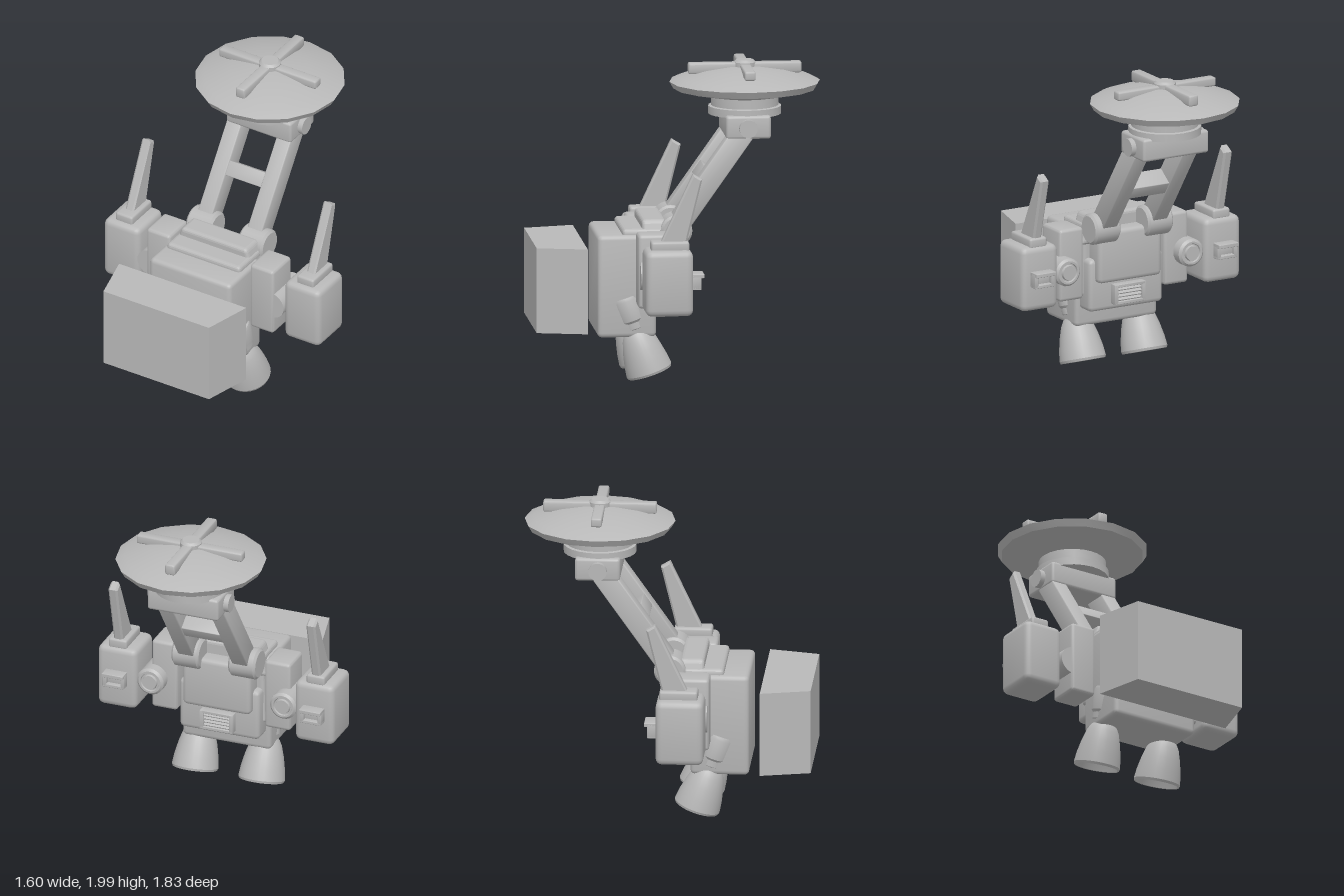
import * as THREE from 'three';
import { toCreasedNormals } from 'three/addons/utils/BufferGeometryUtils.js';
import { RoundedBoxGeometry } from 'three/addons/geometries/RoundedBoxGeometry.js';

const grey = new THREE.MeshStandardMaterial({ color: 0xb8b8b8 });
grey.name = 'grey';
const openGrey = grey;
openGrey.side = THREE.DoubleSide;

export function createModel() {
  const model = new THREE.Group();
  model.name = 'flyingPack';

  const add = (name, geo, parent = model) => {
    const mesh = new THREE.Mesh(geo, grey);
    mesh.name = name;
    parent.add(mesh);
    return mesh;
  };
  // Chamfered box given by its limits; top may narrow in x
  const block = (name, [x0, x1], [y0, y1], [z0, z1], r = 0.02, parent = model, topScale = 1) => {
    const h = y1 - y0;
    const geo = toCreasedNormals(new RoundedBoxGeometry(x1 - x0, h, z1 - z0, 2, r), 0.6);
    const p = geo.attributes.position;
    if (topScale !== 1) {
      for (let i = 0; i < p.count; i++) {
        p.setX(i, p.getX(i) * (1 + (topScale - 1) * (p.getY(i) / h + 0.5)));
      }
      geo.computeVertexNormals();
    }
    geo.translate((x0 + x1) / 2, (y0 + y1) / 2, (z0 + z1) / 2);
    return add(name, geo, parent);
  };
  // Solid of revolution around y from [radius, y] points listed bottom to top
  const lathe = (pts, segments) => toCreasedNormals(
    new THREE.LatheGeometry(pts.map(([r, y]) => new THREE.Vector2(r, y)), segments), 0.5);
  // Side outline of [z, y] points, extruded in x about the middle
  const sideProfile = (pts, width, bevel) => {
    const shape = new THREE.Shape(pts.map(([z, y]) => new THREE.Vector2(z, y)));
    return new THREE.ExtrudeGeometry(shape, {
      depth: width - 2 * bevel, bevelEnabled: bevel > 0, bevelSize: bevel,
      bevelThickness: bevel, bevelOffset: -bevel, bevelSegments: 1,
    }).translate(0, 0, bevel - width / 2).rotateY(-Math.PI / 2);
  };

  // Detached wedge block in front
  const wedge = new THREE.Shape([[-0.47, 0.6], [0.47, 0.6], [0.39, 0.915], [-0.39, 0.915]]
    .map(([x, z]) => new THREE.Vector2(x, z)));
  add('frontBlock', new THREE.ExtrudeGeometry(wedge, { depth: 0.54, bevelEnabled: false })
    .rotateX(Math.PI / 2).translate(0, 0.885, 0));

  // Main body, stepped upward toward the back
  block('frontHull', [-0.3, 0.3], [0.29, 0.94], [0.15, 0.52], 0.03);
  block('middleHull', [-0.285, 0.285], [0.5, 0.975], [0.1, 0.36], 0.025, model, 0.95);
  block('topHull', [-0.3, 0.3], [0.84, 1.03], [0.08, 0.235], 0.025, model, 0.8);
  block('lowerBackHull', [-0.27, 0.27], [0.41, 0.75], [0.03, 0.2], 0.03);
  block('backPanel', [-0.23, 0.23], [0.6, 0.94], [-0.02, 0.16], 0.03);

  // Back vent with louvres
  for (const s of [-1, 1]) {
    block('ventSide', [s * 0.1 - 0.012, s * 0.1 + 0.012], [0.45, 0.58], [-0.02, 0.06], 0.004);
    block('ventRail', [-0.11, 0.11], s < 0 ? [0.45, 0.47] : [0.56, 0.58], [-0.02, 0.06], 0.004);
  }
  for (let i = 0; i < 4; i++) {
    const slat = add('ventLouvre', new THREE.BoxGeometry(0.18, 0.008, 0.035));
    slat.position.set(0, 0.482 + i * 0.022, 0.008);
    slat.rotation.x = -0.5;
  }

  // Parts built once and repeated on both sides
  const tilt = Math.atan2(0.577, 0.816);
  for (const s of [1, -1]) {
    const span = (a, b) => (s > 0 ? [a, b] : [-b, -a]);
    const side = new THREE.Group();
    side.name = s > 0 ? 'leftSide' : 'rightSide';
    model.add(side);

    // Shoulder block and its round joint
    block('shoulderBlock', span(0.295, 0.47), [0.5, 0.968], [0.06, 0.28], 0.022, side);
    add('shoulderJoint', lathe([[0, -0.145], [0.09, -0.145], [0.09, 0.13], [0.075, 0.145],
      [0.062, 0.145], [0.058, 0.135], [0.05, 0.135], [0.046, 0.15], [0, 0.15]], 24)
      .rotateX(-Math.PI / 2), side).position.set(s * 0.45, 0.71, 0.125);

    // Outer pod with cap, fin and rear outlet
    block('pod', span(0.535, 0.8), [0.5, 0.915], [-0.035, 0.265], 0.04, side);
    block('podCap', span(0.608, 0.732), [0.9, 0.967], [-0.015, 0.225], 0.015, side);
    add('podFin', sideProfile([[0.165, 0.95], [0, 0.95], [-0.1, 1.355], [-0.042, 1.39]], 0.062, 0.012), side)
      .position.x = s * 0.67;
    for (const k of [-1, 1]) {
      const c = s * 0.668 + k * 0.06;
      block('outletSide', [c - 0.012, c + 0.012], [0.665, 0.755], [-0.09, -0.02], 0.004, side);
    }
    block('outletTop', span(0.596, 0.74), [0.735, 0.76], [-0.11, -0.02], 0.005, side);
    block('outletBottom', span(0.596, 0.74), [0.66, 0.682], [-0.09, -0.02], 0.005, side);
    block('outletCore', span(0.61, 0.726), [0.675, 0.74], [-0.06, -0.02], 0.005, side);

    // Lower pivot, sloping mast beam and upper pivot disc
    add('mastPivot', lathe([[0, -0.092], [0.085, -0.092], [0.1, -0.078], [0.1, 0.078],
      [0.085, 0.092], [0, 0.092]], 24).rotateZ(Math.PI / 2), side).position.set(s * 0.192, 0.96, 0.02);
    const beam = block('mastBeam', [-0.053, 0.053], [-0.37, 0.37], [-0.069, 0.069], 0.008, side);
    beam.position.set(s * 0.183, 1.27, -0.196);
    beam.rotation.x = -tilt;
    add('headPivot', new THREE.CylinderGeometry(0.057, 0.057, 0.06, 24).rotateZ(Math.PI / 2), side)
      .position.set(s * 0.243, 1.6, -0.435);

    // Tilted engine: upper barrel, collar and hollow bell
    const engine = new THREE.Group();
    engine.name = 'engine';
    engine.position.set(s * 0.225, 0.057, 0.185);
    engine.rotation.x = Math.atan2(0.32, 0.947);
    side.add(engine);
    add('engineBarrel', lathe([[0, 0.27], [0.075, 0.27], [0.075, 0.3], [0.083, 0.305], [0.083, 0.345],
      [0.095, 0.36], [0.1, 0.49], [0.092, 0.51], [0, 0.51]], 24), engine);
    add('engineBell', lathe([[0, 0.22], [0.07, 0.22], [0.1, 0.15], [0.125, 0.06], [0.136, 0.002],
      [0.142, 0], [0.148, 0.015], [0.14, 0.08], [0.123, 0.16], [0.102, 0.23], [0.085, 0.262],
      [0.075, 0.275], [0, 0.275]], 28), engine);
  }

  // Mast cross bar and head yoke
  const bar = block('mastCrossBar', [-0.14, 0.14], [-0.048, 0.048], [-0.063, 0.063], 0.004);
  bar.position.set(0, 1.27, -0.196);
  bar.rotation.x = -tilt;
  block('headYoke', [-0.24, 0.24], [1.53, 1.677], [-0.58, -0.297], 0.018);

  // Neck, dish and rotor
  const head = new THREE.Group();
  head.name = 'rotorHead';
  head.position.z = -0.437;
  model.add(head);
  add('neck', lathe([[0, 1.66], [0.23, 1.66], [0.23, 1.71], [0.213, 1.715], [0.213, 1.8]], 24), head);
  add('dish', lathe([[0, 1.77], [0.22, 1.775], [0.45, 1.822], [0.475, 1.865], [0.42, 1.89],
    [0.25, 1.935], [0.1, 1.957], [0, 1.96]], 16), head);
  block('rotorBladesLong', [-0.034, 0.034], [1.915, 1.985], [-0.357, 0.357], 0.012, head);
  block('rotorBladesWide', [-0.357, 0.357], [1.92, 1.978], [-0.034, 0.034], 0.012, head);
  add('rotorHub', lathe([[0, 1.92], [0.07, 1.92], [0.07, 1.985], [0.055, 2], [0, 2]], 16), head);

  return model;
}
